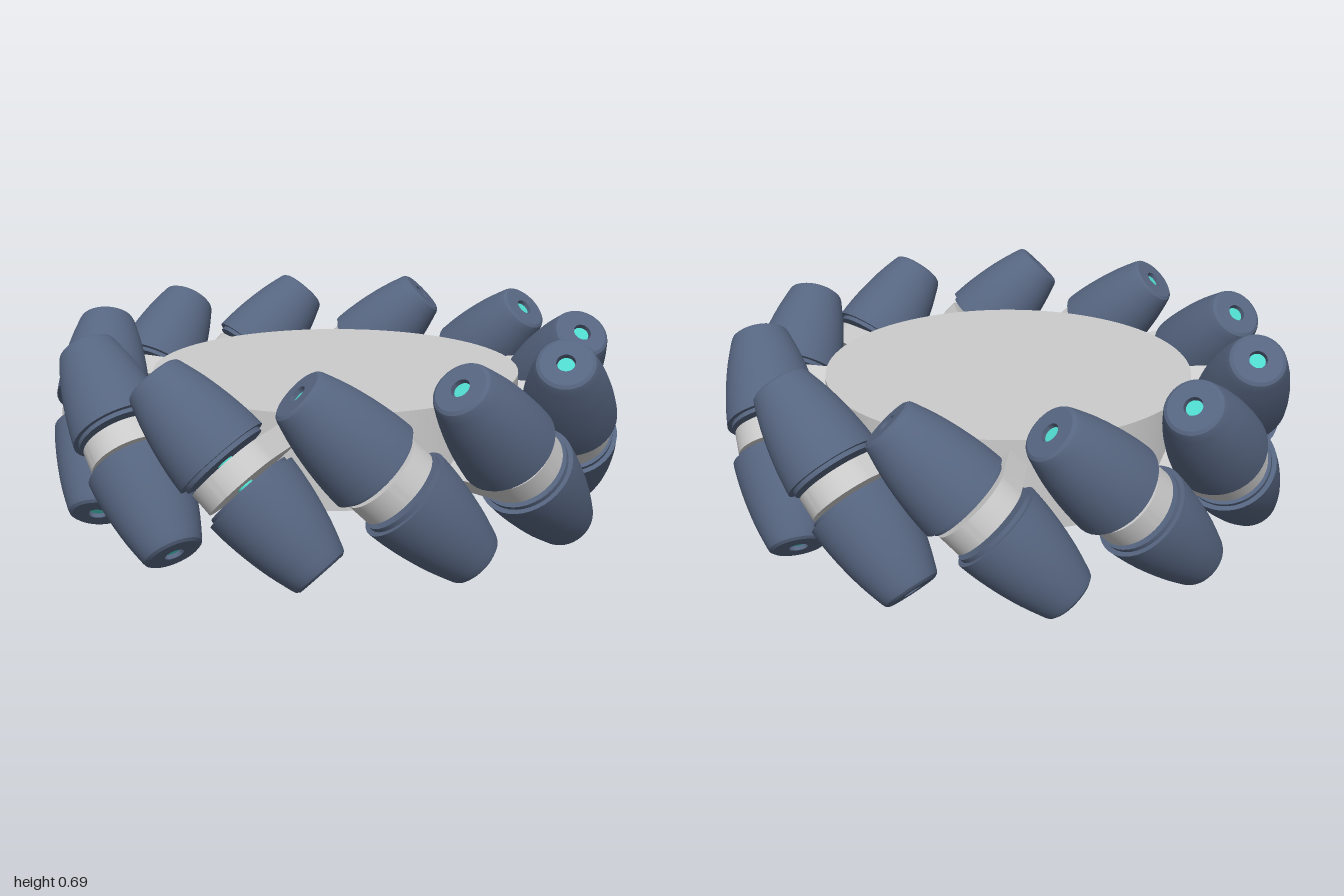
import * as THREE from 'three';
import { toCreasedNormals } from 'three/addons/utils/BufferGeometryUtils.js';

const ROLLERS = 11;
const AXIS_RADIUS = 0.835; // wheel centre to roller axle
const MID_Y = 0.35;

const grey = new THREE.MeshStandardMaterial({ color: 0xcccccc });
const blue = new THREE.MeshStandardMaterial({ color: 0x566580 });
const teal = new THREE.MeshStandardMaterial({ color: 0x4fd8cc });

function part(name, geometry, material) {
  const mesh = new THREE.Mesh(geometry, material);
  mesh.name = name;
  return mesh;
}

// Half a barrel roller: stepped inner rim, bulged side, drilled outer end
function rollerHalfGeometry() {
  const side = new THREE.SplineCurve([
    [0.165, 0.07], [0.16, 0.13], [0.148, 0.21], [0.128, 0.3], [0.102, 0.383],
  ].map(([r, s]) => new THREE.Vector2(r, s))).getPoints(12);
  const inner = [[0.028, 0.055], [0.149, 0.055], [0.149, 0.07]];
  const outer = [[0.097, 0.393], [0.086, 0.4], [0.032, 0.4], [0.032, 0.375], [0.02, 0.375]];
  const toPoint = ([r, s]) => new THREE.Vector2(r, s);
  const profile = [...inner.map(toPoint), ...side, ...outer.map(toPoint)];
  return toCreasedNormals(new THREE.LatheGeometry(profile, 40), 0.5);
}

// Flat arm with a round end that carries the axle
function armGeometry() {
  const r = 0.142, root = -0.285, thickness = 0.08;
  const shape = new THREE.Shape();
  shape.moveTo(root, -r);
  shape.lineTo(0, -r);
  shape.absarc(0, 0, r, -Math.PI / 2, Math.PI / 2, false);
  shape.lineTo(root, r);
  shape.closePath();
  const geometry = new THREE.ExtrudeGeometry(shape, {
    depth: thickness, bevelEnabled: false, curveSegments: 24,
  });
  geometry.translate(0, 0, -thickness / 2);
  geometry.rotateX(Math.PI / 2);
  return toCreasedNormals(geometry, 0.5);
}

export function createModel() {
  const wheel = new THREE.Group();
  wheel.name = 'omnidirectionalWheel';

  // Central drum
  const hub = part('hub', new THREE.CylinderGeometry(0.65, 0.65, 0.32, 96), grey);
  hub.position.y = MID_Y;
  wheel.add(hub);

  const half = rollerHalfGeometry();
  const arm = armGeometry();
  const axle = new THREE.CylinderGeometry(0.028, 0.028, 0.772, 20);

  // Ring of slanted rollers, each on its own arm
  for (let i = 0; i < ROLLERS; i++) {
    const station = new THREE.Group();
    station.name = 'rollerStation';
    station.rotation.y = -(i / ROLLERS) * Math.PI * 2;
    station.position.y = MID_Y;

    const tilted = new THREE.Group();
    tilted.name = 'roller';
    tilted.position.x = AXIS_RADIUS;
    tilted.rotation.x = Math.PI / 4;

    const upper = part('upperRollerHalf', half, blue);
    const lower = part('lowerRollerHalf', half, blue);
    lower.rotation.x = Math.PI;
    tilted.add(upper, lower, part('arm', arm, grey), part('axle', axle, teal));

    station.add(tilted);
    wheel.add(station);
  }

  wheel.position.set(-0.008, 0, -0.004);
  const model = new THREE.Group();
  model.name = 'model';
  model.add(wheel);
  return model;
}
